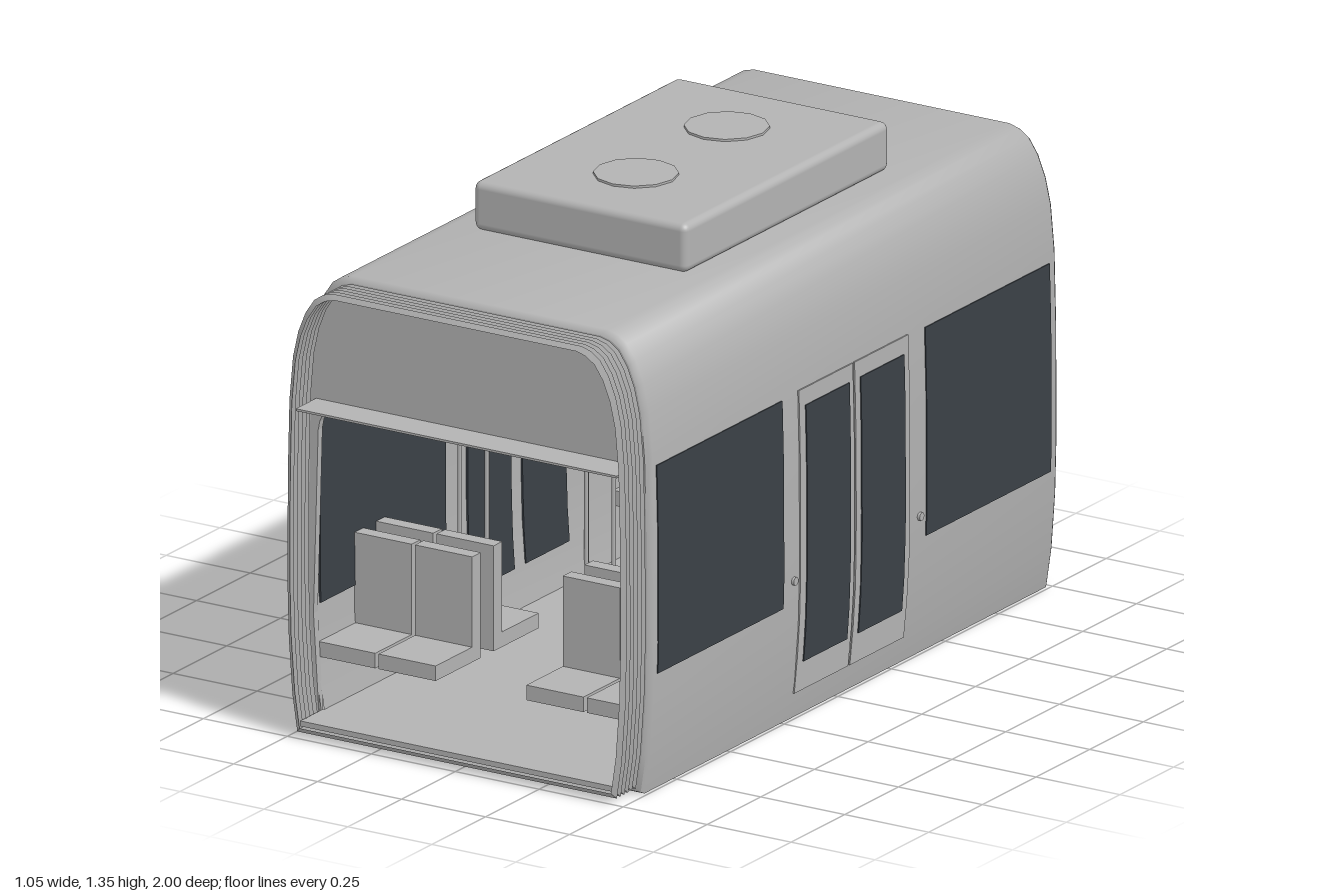
import * as THREE from 'three';
import { toCreasedNormals } from 'three/addons/utils/BufferGeometryUtils.js';
import { RoundedBoxGeometry } from 'three/addons/geometries/RoundedBoxGeometry.js';

// Right half of the body cross-section, bottom to top
const HALF = [[0.49, 0], [0.505, 0.1], [0.516, 0.25], [0.52, 0.4], [0.519, 0.7], [0.514, 0.9], [0.503, 1.02],
  [0.487, 1.09], [0.465, 1.145], [0.438, 1.185], [0.41, 1.204], [0.38, 1.212]];
const MID = 0.606;
const DOOR_Z = -0.045;

// Closed cross-section, shrunk by an inset
function section(inset) {
  const left = HALF.map(([x, y]) => [-x, y]).reverse();
  return [...HALF, ...left].map(([x, y]) =>
    new THREE.Vector2(x * (1 - inset / 0.52), MID + (y - MID) * (1 - inset / MID)));
}

// Half width of the body at height y
function hullX(y) {
  for (let i = 1; i < HALF.length; i++) {
    const [x0, y0] = HALF[i - 1], [x1, y1] = HALF[i];
    if (y <= y1) return x0 + (x1 - x0) * (y - y0) / (y1 - y0);
  }
  return 0.38;
}

// Skin through rings of [z, inset]
function loft(rings) {
  const pos = [], idx = [], n = HALF.length * 2;
  rings.forEach(([z, inset], i) => {
    section(inset).forEach((p, j) => {
      pos.push(p.x, p.y, z);
      if (i === rings.length - 1) return;
      const a = i * n + j, b = i * n + (j + 1) % n;
      idx.push(a, b, a + n, a + n, b, b + n);
    });
  });
  const g = new THREE.BufferGeometry();
  g.setAttribute('position', new THREE.Float32BufferAttribute(pos, 3));
  g.setIndex(idx);
  return toCreasedNormals(g, 0.7);
}

// Thin slab that follows the side wall; scale and offset move it inward or outward
function sideSlab(side, y0, y1, z0, z1, thick, offset = 0, scale = 1) {
  const g = new THREE.BoxGeometry(thick, y1 - y0, z1 - z0, 1, 8, 1);
  g.translate(0, (y0 + y1) / 2, side * (z0 + z1) / 2);
  const p = g.attributes.position;
  for (let i = 0; i < p.count; i++) p.setX(i, p.getX(i) + hullX(p.getY(i)) * scale + offset);
  if (side < 0) g.rotateY(Math.PI);
  return g;
}

export function createModel() {
  const model = new THREE.Group();
  const body = new THREE.MeshStandardMaterial({ name: 'body grey', color: 0xb3b3b3, side: THREE.DoubleSide });
  const glass = new THREE.MeshStandardMaterial({ name: 'dark glass', color: 0x3b4147 });

  const add = (name, geo, mat = body, x = 0, y = 0, z = 0) => {
    const m = new THREE.Mesh(geo, mat);
    m.name = name;
    m.position.set(x, y, z);
    model.add(m);
    return m;
  };
  const box = (name, x0, x1, y0, y1, z0, z1, mat = body) =>
    add(name, new THREE.BoxGeometry(x1 - x0, y1 - y0, z1 - z0), mat, (x0 + x1) / 2, (y0 + y1) / 2, (z0 + z1) / 2);
  const pole = (name, x, z, y0, y1) =>
    add(name, new THREE.CylinderGeometry(0.006, 0.006, y1 - y0, 8), body, x, (y0 + y1) / 2, z);

  // Outer shell and inner lining
  add('bodyShell', loft([[-1, 0.014], [-0.995, 0.005], [-0.985, 0], [0.885, 0], [0.895, 0.005], [0.9, 0.014]]));
  add('innerLining', loft([[-0.985, 0.03], [0.885, 0.03]]));

  // End walls with a wide rounded opening
  for (const [name, z] of [['backEndWall', -1], ['frontEndWall', 0.88]]) {
    const wall = new THREE.Shape(section(0.014));
    const hole = new THREE.Path();
    hole.moveTo(-0.47, 0.04);
    hole.lineTo(0.47, 0.04);
    hole.lineTo(0.486, 0.3);
    hole.lineTo(0.472, 0.79);
    hole.quadraticCurveTo(0.465, 0.866, 0.38, 0.866);
    hole.lineTo(-0.38, 0.866);
    hole.quadraticCurveTo(-0.465, 0.866, -0.472, 0.79);
    hole.lineTo(-0.486, 0.3);
    hole.closePath();
    wall.holes.push(hole);
    add(name, new THREE.ExtrudeGeometry(wall, { depth: 0.02, bevelEnabled: false, curveSegments: 6 }), body, 0, 0, z);
  }

  // Pleated gangway at the front
  const pleats = [];
  for (let i = 0; i <= 12; i++) pleats.push([0.895 + i * 0.105 / 12, i % 2 ? 0.015 : 0.028]);
  add('gangwayBellows', loft(pleats));

  // Floor and ceiling
  box('floor', -0.468, 0.468, 0.03, 0.044, -0.99, 0.99);
  box('ceiling', -0.478, 0.478, 0.867, 0.873, -0.985, 0.995);

  // Roof unit with two fan covers
  add('roofUnit', new RoundedBoxGeometry(0.635, 0.13, 0.95, 3, 0.02), body, 0, 1.275, -0.053);
  for (const z of [-0.265, 0.158]) add('fanCover', new THREE.CylinderGeometry(0.108, 0.108, 0.01, 12), body, 0, 1.341, z);

  for (const s of [1, -1]) {
    // Side windows and door glass, seen from both sides of the wall
    const panes = [[0.32, 0.872, 0.285, 0.87, 0], [0.32, 0.872, -0.96, -0.38, 0],
      [0.15, 0.832, -0.02, 0.183, 0.004], [0.15, 0.832, -0.275, -0.072, 0.004]];
    for (const [y0, y1, z0, z1, out] of panes) {
      add('windowOutside', sideSlab(s, y0, y1, z0, z1, 0.006, out), glass);
      add('windowInside', sideSlab(s, y0, y1, z0, z1, 0.006, -0.002, 0.942), glass);
    }
    // Sliding door leaves and buttons
    add('doorLeaf', sideSlab(s, 0.07, 0.877, DOOR_Z + 0.004, 0.21, 0.008));
    add('doorLeaf', sideSlab(s, 0.07, 0.877, -0.3, DOOR_Z - 0.004, 0.008));
    for (const z of [0.236, -0.35]) {
      const b = add('doorButton', new THREE.CylinderGeometry(0.011, 0.011, 0.012, 12), body, s * 0.521, 0.38, z);
      b.rotation.z = Math.PI / 2;
    }
    // Poles beside the doors and overhead grab rails
    for (const z of [0.25, -0.34]) {
      pole('doorPole', s * 0.385, z, 0.04, 0.868);
      pole('wallPole', s * 0.466, z, 0.04, 0.868);
    }
    const rail = add('grabRail', new THREE.CylinderGeometry(0.005, 0.005, 1.2, 8), body, s * 0.17, 0.7, DOOR_Z);
    rail.rotation.x = Math.PI / 2;

    // Back-to-back pairs of seats
    for (const zc of [0.64, -0.73]) for (const dir of [1, -1]) for (const x of [0.22, 0.4]) {
      const seat = new THREE.Group();
      seat.name = 'seat';
      const back = new THREE.Mesh(new THREE.BoxGeometry(0.17, 0.28, 0.04), body);
      back.name = 'seatBack';
      back.position.set(0, 0.32, 0.05);
      const cushion = new THREE.Mesh(new THREE.BoxGeometry(0.17, 0.04, 0.17), body);
      cushion.name = 'seatCushion';
      cushion.position.set(0, 0.2, 0.155);
      seat.add(back, cushion);
      seat.position.set(s * x, 0, zc);
      if (dir < 0) seat.rotation.y = Math.PI;
      model.add(seat);
    }
  }

  // Centre pole and hanging display
  pole('centrePole', 0, DOOR_Z, 0.04, 0.868);
  box('displayCase', -0.123, 0.123, 0.75, 0.835, DOOR_Z - 0.02, DOOR_Z + 0.02);
  for (const d of [1, -1]) {
    box('displayScreen', -0.11, 0.11, 0.757, 0.827, DOOR_Z + d * 0.021 - 0.002, DOOR_Z + d * 0.021 + 0.002, glass);
  }
  return model;
}
